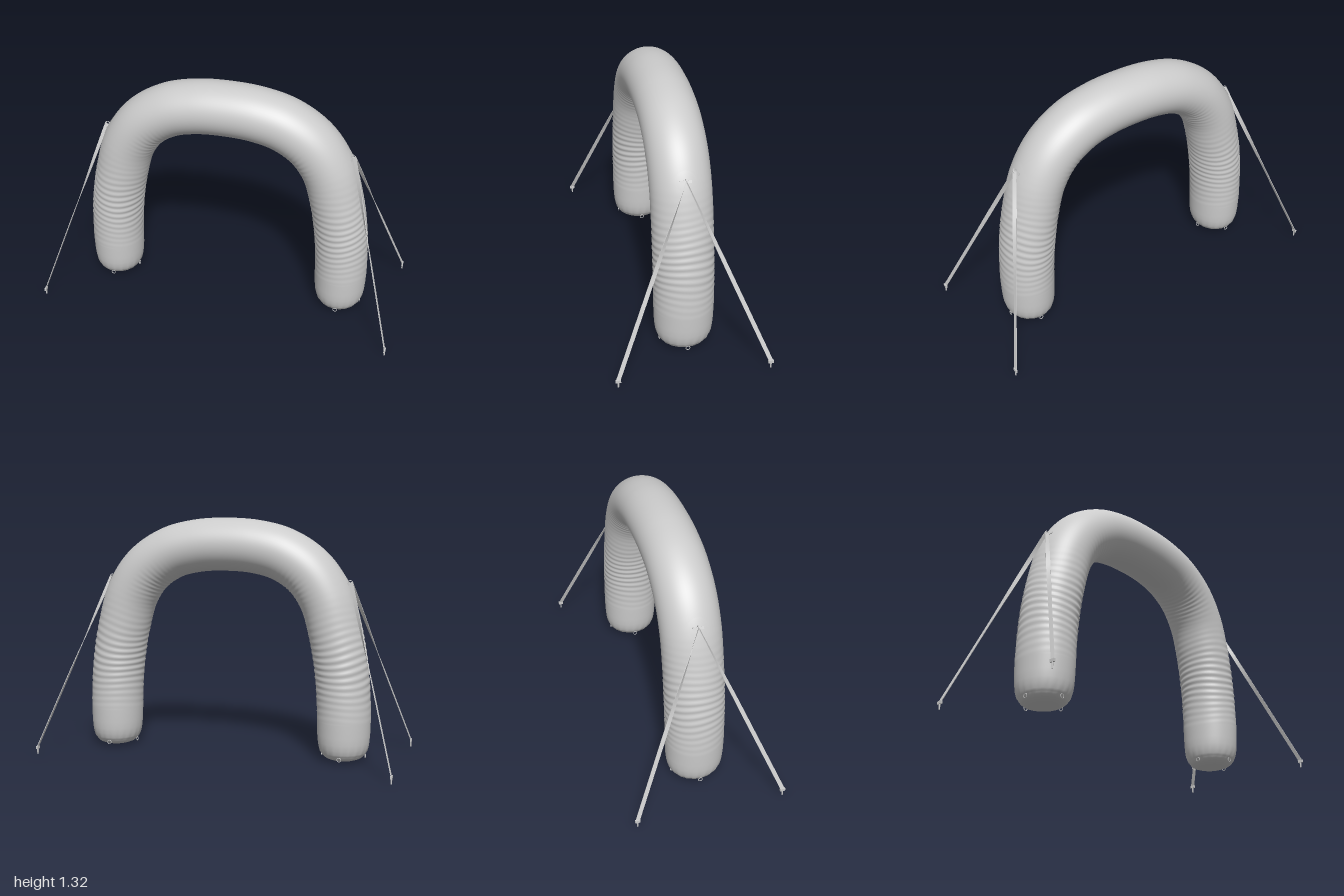
import * as THREE from 'three';

const MAT = new THREE.MeshStandardMaterial({ color: 0xcccccc });
const THIN = new THREE.MeshStandardMaterial({ color: 0xcccccc, side: THREE.DoubleSide });
const R_IN = 0.147, R_Z = 0.16, Z0 = -0.005, LEG_X = 0.672;

// Centre line of the inflated arch, from the -x foot over the top to the +x foot
const half = [[LEG_X, 0], [LEG_X, 0.15], [0.67, 0.3], [0.655, 0.5], [0.62, 0.7],
  [0.563, 0.89], [0.468, 1.028], [0.325, 1.122], [0.17, 1.163]];
const spine = new THREE.CatmullRomCurve3([
  ...half.map(([x, y]) => new THREE.Vector3(-x, y, Z0)),
  new THREE.Vector3(0, 1.174, Z0),
  ...half.slice().reverse().map(([x, y]) => new THREE.Vector3(x, y, Z0)),
]);
spine.arcLengthDivisions = 800;
const LENGTH = spine.getLength();

// Foot profile: [distance from end, radius factor]
const foot = [[0, 0], [0.002, 0.25], [0.008, 0.5], [0.018, 0.68], [0.03, 0.78], [0.038, 0.8],
  [0.044, 0.84], [0.055, 0.88], [0.08, 0.935], [0.11, 0.965], [0.15, 0.985], [0.22, 1]];

function footFactor(d) {
  for (let i = 1; i < foot.length; i++) {
    if (d <= foot[i][0]) {
      const [d0, f0] = foot[i - 1], [d1, f1] = foot[i];
      return f0 + (f1 - f0) * (d - d0) / (d1 - d0);
    }
  }
  return 1;
}

function frameAt(u) {
  const c = spine.getPointAt(u), t = spine.getTangentAt(u);
  return { c, n: new THREE.Vector3(-t.y, t.x, 0).normalize() };
}

// Fabric folds across the lower legs and small puckers inside the bends
function wrinkle(d, a) {
  const fold = Math.exp(-(((d - 0.52) / 0.2) ** 2));
  const bend = Math.exp(-(((d - 1.06) / 0.12) ** 2)) * Math.max(0, -Math.cos(a));
  const pucker = Math.exp(-(((d - 0.05) / 0.03) ** 2));
  return 0.0022 * fold * Math.sin(d * 165 + 1.5 * Math.sin(a * 2 + d * 9))
    + 0.0015 * bend * Math.sin(d * 190 + Math.sin(3 * a))
    + 0.002 * pucker * Math.sin(a * 20);
}

function archGeometry() {
  const ends = foot.map(f => f[0]), stops = [...ends];
  const N = 380, M = 64, a0 = ends.at(-1), span = LENGTH - 2 * a0;
  for (let i = 1; i < N; i++) stops.push(a0 + span * i / N);
  stops.push(...ends.slice().reverse().map(d => LENGTH - d));
  const pos = [], idx = [];
  stops.forEach((s, i) => {
    const { c, n } = frameAt(s / LENGTH), d = Math.min(s, LENGTH - s), f = footFactor(d);
    for (let j = 0; j < M; j++) {
      const a = j / M * Math.PI * 2, w = f > 0 ? wrinkle(d, a) : 0;
      const p = n.clone().multiplyScalar((R_IN * f + w) * Math.cos(a)).add(c);
      pos.push(p.x, p.y, p.z + (R_Z * f + w) * Math.sin(a));
      if (i < stops.length - 1) {
        const k = i * M, j2 = (j + 1) % M;
        idx.push(k + j, k + j2, k + M + j2, k + j, k + M + j2, k + M + j);
      }
    }
  });
  const g = new THREE.BufferGeometry();
  g.setAttribute('position', new THREE.Float32BufferAttribute(pos, 3));
  g.setIndex(idx);
  g.computeVertexNormals();
  return g;
}

function add(parent, name, geo, x = 0, y = 0, z = 0, mat = MAT) {
  const m = new THREE.Mesh(geo, mat);
  m.name = name;
  m.position.set(x, y, z);
  parent.add(m);
  return m;
}

// Flat webbing that lies facing sideways at the stake and twists toward the top
function strapGeometry(from, to) {
  const dir = to.clone().sub(from).normalize();
  const wide = new THREE.Vector3(0, 0, 1).addScaledVector(dir, -dir.z).normalize();
  const g = new THREE.BoxGeometry(0.022, 1, 0.003, 1, 40, 1);
  const p = g.attributes.position;
  for (let i = 0; i < p.count; i++) {
    const t = p.getY(i) + 0.5;
    const twist = THREE.MathUtils.smoothstep(t, 0.4, 1) * 1.3;
    const w = wide.clone().applyAxisAngle(dir, twist);
    const n = w.clone().cross(dir);
    const v = from.clone().lerp(to, t).addScaledVector(w, p.getX(i)).addScaledVector(n, p.getZ(i));
    p.setXYZ(i, v.x, v.y, v.z);
  }
  g.computeVertexNormals();
  return g;
}

// Curved fabric patch with a webbing tab and ring on the outer shoulder
function buildAnchor() {
  let u = 0.5;
  const outer = v => { const { c, n } = frameAt(v); return c.addScaledVector(n, R_IN); };
  while (u < 1 && outer(u).y > 0.975) u += 0.001;
  const n = frameAt(u).n, p = outer(u);
  const anchor = new THREE.Group();
  anchor.name = 'strapAnchor';
  anchor.position.copy(p);
  anchor.rotation.z = Math.atan2(n.y, n.x);
  const patch = new THREE.RingGeometry(0.0001, 0.055, 40, 6), q = patch.attributes.position;
  for (let i = 0; i < q.count; i++) {
    q.setZ(i, 0.002 - q.getX(i) ** 2 / 0.32 - q.getY(i) ** 2 / 1.1);
  }
  patch.computeVertexNormals();
  add(anchor, 'anchorPatch', patch, 0, 0, 0, THIN).rotation.y = Math.PI / 2;
  add(anchor, 'webbingTab', new THREE.BoxGeometry(0.006, 0.014, 0.06), 0.001, 0, 0);
  const ring = add(anchor, 'anchorRing', new THREE.TorusGeometry(0.011, 0.0025, 8, 20), 0.011, 0.003, 0);
  ring.rotation.x = 0.3;
  return { anchor, tip: new THREE.Vector3(p.x + 0.012, p.y + 0.008, Z0) };
}

function buildSide() {
  const side = new THREE.Group();
  const { anchor, tip } = buildAnchor();
  side.add(anchor);

  // Guy straps, buckles and ground stakes
  for (const s of [1, -1]) {
    const low = new THREE.Vector3(0.993, 0.042, s * 0.398);
    add(side, 'guyStrap', strapGeometry(low, tip), 0, 0, 0);
    add(side, 'strapBuckle', new THREE.BoxGeometry(0.01, 0.016, 0.028), 0.994, 0.037, s * 0.398);
    add(side, 'groundStake', new THREE.CylinderGeometry(0.005, 0.004, 0.032, 10), 0.994, 0.016, s * 0.398);
  }

  // Four small tie-down loops around the foot
  for (let i = 0; i < 4; i++) {
    const a = i * Math.PI / 2;
    const loop = add(side, 'footLoop', new THREE.TorusGeometry(0.011, 0.002, 6, 16),
      LEG_X + 0.122 * Math.cos(a), 0.028, Z0 + 0.13 * Math.sin(a));
    loop.rotation.y = Math.PI / 2 - a;
  }
  return side;
}

export function createModel() {
  const model = new THREE.Group();
  model.name = 'inflatableArch';
  add(model, 'archTube', archGeometry());
  // The second side is the first one turned half way round, about the tube's own centre
  const left = buildSide();
  left.name = 'leftRigging';
  const right = buildSide();
  right.name = 'rightRigging';
  right.rotation.y = Math.PI;
  right.position.z = 2 * Z0;
  model.add(left, right);
  return model;
}
